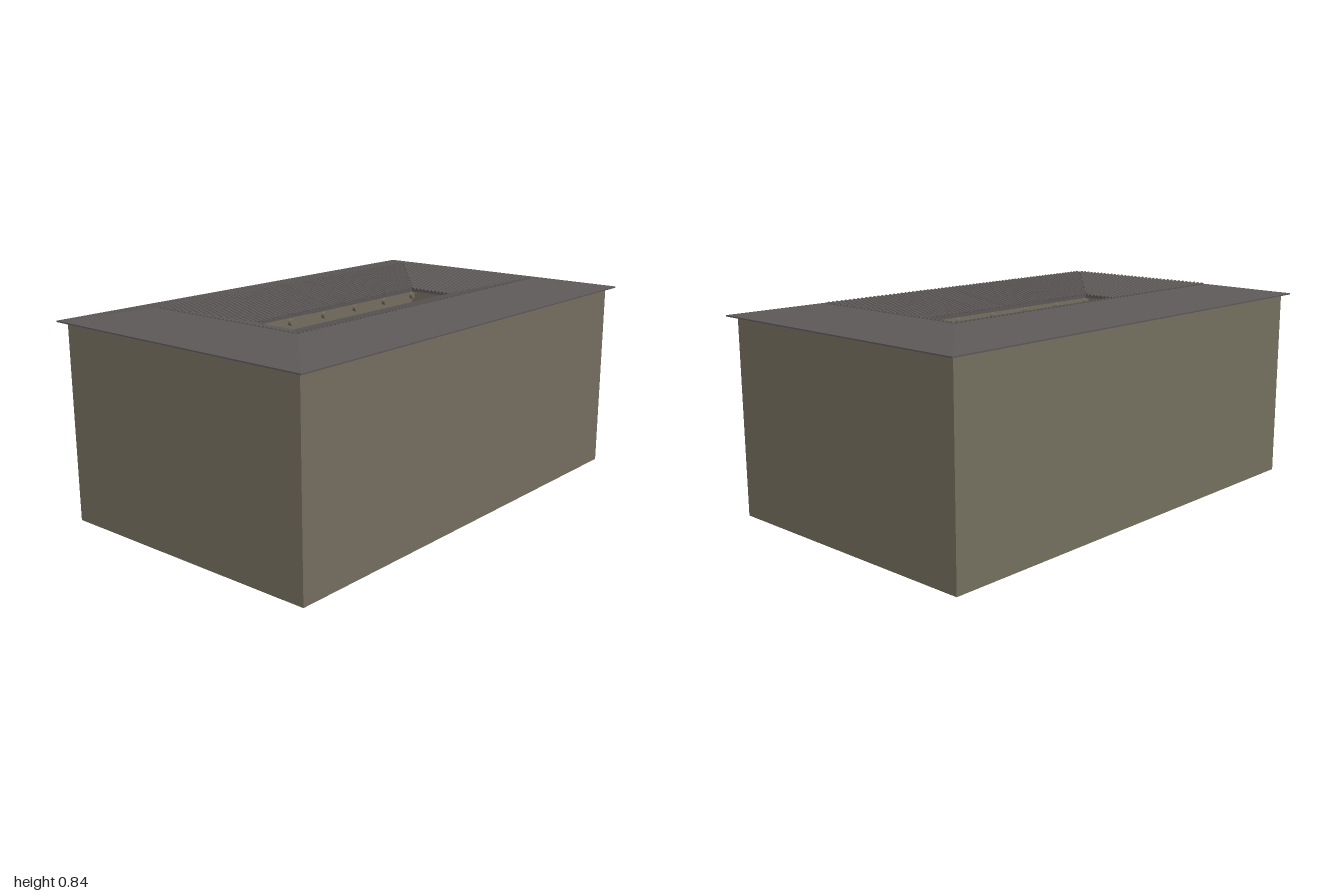
import * as THREE from 'three';
import { mergeGeometries } from 'three/addons/utils/BufferGeometryUtils.js';

const wallMat = new THREE.MeshStandardMaterial({ name: 'plaster', color: 0x757060 });
const roofMat = new THREE.MeshStandardMaterial({ name: 'roofTile', color: 0x5e5959 });

// Half sizes of the ridge and of the courtyard opening
const RIDGE = { x: 0.74, z: 0.355, y: 0.83 };
const LIP = { x: 0.49, z: 0.105, y: 0.765 };

function add(group, name, geometry, material) {
  const mesh = new THREE.Mesh(geometry, material);
  mesh.name = name;
  group.add(mesh);
  return mesh;
}

// Upright rectangular wall ring, from y = 0 to the given height
function wallRing(hx, hz, thickness, height) {
  const rect = (C, x, z) => {
    const s = new C();
    s.moveTo(-x, -z);
    s.lineTo(x, -z);
    s.lineTo(x, z);
    s.lineTo(-x, z);
    s.closePath();
    return s;
  };
  const shape = rect(THREE.Shape, hx, hz);
  shape.holes.push(rect(THREE.Path, hx - thickness, hz - thickness));
  const geo = new THREE.ExtrudeGeometry(shape, { depth: height, bevelEnabled: false });
  return geo.rotateX(-Math.PI / 2);
}

// Joins rectangles [half x, half z, y] into a faceted frame
function loftFrame(profile) {
  const signs = [[1, 1], [1, -1], [-1, -1], [-1, 1]];
  const pos = [];
  const corner = (p, i) => [p[0] * signs[i % 4][0], p[2], p[1] * signs[i % 4][1]];
  for (let k = 0; k < profile.length - 1; k++) {
    for (let i = 0; i < 4; i++) {
      const a = corner(profile[k], i), b = corner(profile[k], i + 1);
      const c = corner(profile[k + 1], i + 1), d = corner(profile[k + 1], i);
      pos.push(...a, ...b, ...c, ...a, ...c, ...d);
    }
  }
  const geo = new THREE.BufferGeometry();
  geo.setAttribute('position', new THREE.Float32BufferAttribute(pos, 3));
  geo.computeVertexNormals();
  return geo;
}

// Round tile rib between two points
function rib(from, to) {
  const dir = to.clone().sub(from);
  const geo = new THREE.CylinderGeometry(0.006, 0.006, dir.length(), 6);
  geo.applyQuaternion(new THREE.Quaternion().setFromUnitVectors(
    new THREE.Vector3(0, 1, 0), dir.clone().normalize()));
  const mid = from.clone().add(to).multiplyScalar(0.5);
  return geo.translate(mid.x, mid.y, mid.z);
}

// Ribs running down one inner slope, cut off at the hips
function slopeRibs(alongX, side) {
  const long = alongX ? RIDGE.x : RIDGE.z;
  const inner = alongX ? LIP.x : LIP.z;
  const top = alongX ? RIDGE.z : RIDGE.x;
  const run = long - inner;
  const point = (u, t) => {
    const v = side * (top - run * t);
    const y = THREE.MathUtils.lerp(RIDGE.y, LIP.y, t);
    return alongX ? new THREE.Vector3(u, y, v) : new THREE.Vector3(v, y, u);
  };
  const count = Math.round((2 * long) / 0.02);
  const ribs = [];
  for (let i = 1; i < count; i++) {
    const u = -long + (2 * long * i) / count;
    const t = Math.min(1, (long - Math.abs(u)) / run);
    ribs.push(rib(point(u, 0), point(u, t)));
  }
  return mergeGeometries(ribs);
}

export function createModel() {
  const model = new THREE.Group();
  model.name = 'courtyardHouse';

  // Outer walls, courtyard walls and floor
  add(model, 'outerWalls', wallRing(0.97, 0.585, 0.03, 0.785), wallMat).position.z = -0.003;
  add(model, 'courtyardWalls', wallRing(0.515, 0.13, 0.025, 0.755), wallMat);
  const floor = add(model, 'floor', new THREE.BoxGeometry(1.93, 0.01, 1.16), wallMat);
  floor.position.set(0, 0.006, -0.003);

  // Roof: eaves, plain outer slope, inner slope and lip
  add(model, 'roof', loftFrame([
    [0.94, 0.55, 0.783],
    [1, 0.615, 0.783],
    [1, 0.615, 0.788],
    [RIDGE.x, RIDGE.z, RIDGE.y],
    [LIP.x, LIP.z, LIP.y],
    [LIP.x, LIP.z, 0.753],
  ]), roofMat);

  // Tile ribs on the four inner slopes
  for (const side of [1, -1]) {
    add(model, 'longSlopeRibs', slopeRibs(true, side), roofMat);
    add(model, 'shortSlopeRibs', slopeRibs(false, side), roofMat);
  }

  // Small round water spouts below the courtyard lip
  const spoutGeo = new THREE.CylinderGeometry(0.014, 0.014, 0.024, 12).rotateX(Math.PI / 2);
  for (const side of [1, -1]) {
    for (let i = 0; i < 6; i++) {
      const spout = add(model, 'waterSpout', spoutGeo, wallMat);
      spout.position.set((i - 2.5) * 0.193, 0.738, side * 0.102);
    }
  }
  return model;
}
